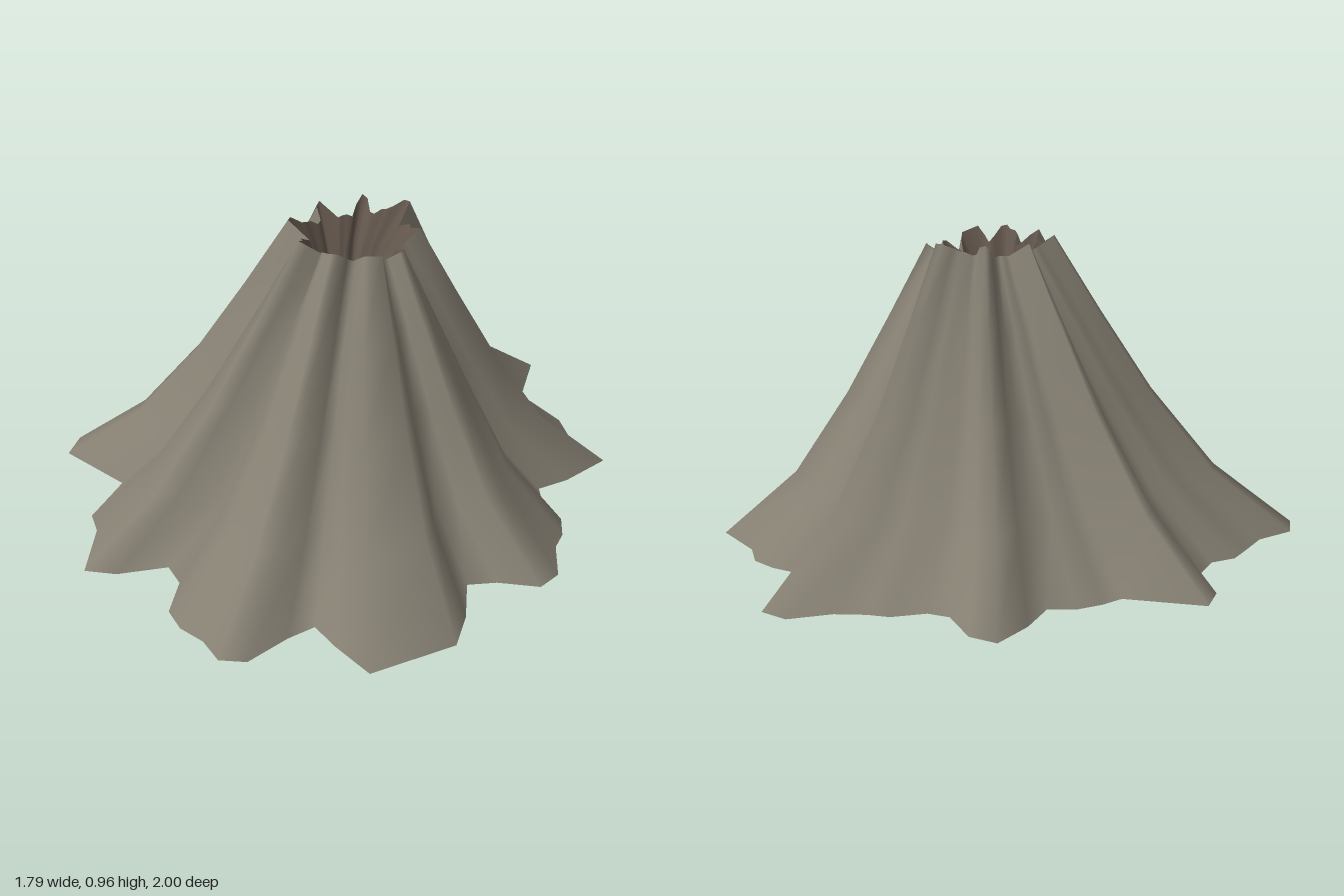
import * as THREE from 'three';

// Lobed foot of the mountain as x, z pairs, running back, left, front, right
const FOOT = [
  0.31, -1, 0.4, -0.98, 0.45, -0.69, 0.54, -0.68, 0.62, -0.65, 0.68, -0.57, 0.84, -0.47,
  0.76, -0.3, 0.69, -0.21, 0.72, -0.15, 0.81, -0.08, 0.84, 0, 0.84, 0.07, 0.89, 0.2,
  0.86, 0.28, 0.73, 0.32, 0.65, 0.37, 0.7, 0.51, 0.72, 0.64, 0.54, 0.86, 0.4, 0.8,
  0.31, 0.75, 0.26, 0.83, 0.2, 0.97, 0.12, 1, 0.04, 0.95, -0.05, 0.93, -0.12, 0.88,
  -0.16, 0.75, -0.23, 0.7, -0.36, 0.8, -0.46, 0.83, -0.54, 0.64, -0.6, 0.58, -0.61, 0.38,
  -0.88, 0.31, -0.9, 0.21, -0.82, 0.1, -0.8, 0, -0.78, -0.09, -0.72, -0.15, -0.71, -0.25,
  -0.79, -0.38, -0.79, -0.48, -0.54, -0.52, -0.5, -0.58, -0.44, -0.64, -0.36, -0.67,
  -0.35, -0.8, -0.31, -0.93, -0.22, -0.92, -0.12, -0.82, -0.05, -0.82, 0.04, -0.88,
  0.11, -0.89, 0.2, -0.92,
];
const COUNT = FOOT.length / 2;
const CENTRE = 0.07;

// Each ring: scale of the foot, height, shift in x, extra height on ridges, lobe emphasis
const RIM = { scale: 0.205, y: 0.925, shift: 0.03, lift: 0.2, lobe: 0.5 };
const SLOPE = [
  { scale: 1, y: 0, shift: 0, lift: 0, lobe: 0 },
  { scale: 0.735, y: 0.2, shift: 0, lift: 0, lobe: 0 },
  { scale: 0.53, y: 0.46, shift: 0.01, lift: 0, lobe: 0 },
  { scale: 0.355, y: 0.71, shift: 0.02, lift: 0.05, lobe: 0.2 },
  RIM,
];
const CRATER = [
  RIM,
  { scale: 0.14, y: 0.82, shift: 0.01, lift: 0.1, lobe: 0.2 },
  { scale: 0.09, y: 0.7, shift: 0, lift: 0, lobe: 0 },
  { scale: 0, y: 0.62, shift: 0, lift: 0, lobe: 0 },
];

// Skin a stack of rings into one smooth surface
function skin(name, rings, color) {
  const positions = [];
  const index = [];
  rings.forEach((ring, i) => {
    for (let j = 0; j < COUNT; j++) {
      const dx = FOOT[2 * j] - CENTRE;
      const dz = FOOT[2 * j + 1];
      const ridge = Math.hypot(dx, dz) / 0.83;
      const s = ring.scale * Math.pow(ridge, ring.lobe);
      const lift = THREE.MathUtils.clamp(ring.lift * (ridge - 1), -0.06, 0.04);
      positions.push(CENTRE + ring.shift + dx * s, ring.y + lift, dz * s);
      if (i === rings.length - 1) continue;
      const a = i * COUNT + j;
      const b = i * COUNT + ((j + 1) % COUNT);
      index.push(a, a + COUNT, b);
      if (rings[i + 1].scale > 0) index.push(b, a + COUNT, b + COUNT);
    }
  });
  const geometry = new THREE.BufferGeometry();
  geometry.setAttribute('position', new THREE.Float32BufferAttribute(positions, 3));
  geometry.setIndex(index);
  geometry.computeVertexNormals();
  const mesh = new THREE.Mesh(
    geometry,
    new THREE.MeshStandardMaterial({ color, side: THREE.DoubleSide })
  );
  mesh.name = name;
  return mesh;
}

export function createModel() {
  const volcano = new THREE.Group();
  volcano.name = 'volcano';
  // Open-bottomed slopes and the funnel sunk into the summit
  volcano.add(skin('slopes', SLOPE, 0x857f72));
  volcano.add(skin('crater', CRATER, 0x62564c));
  return volcano;
}
